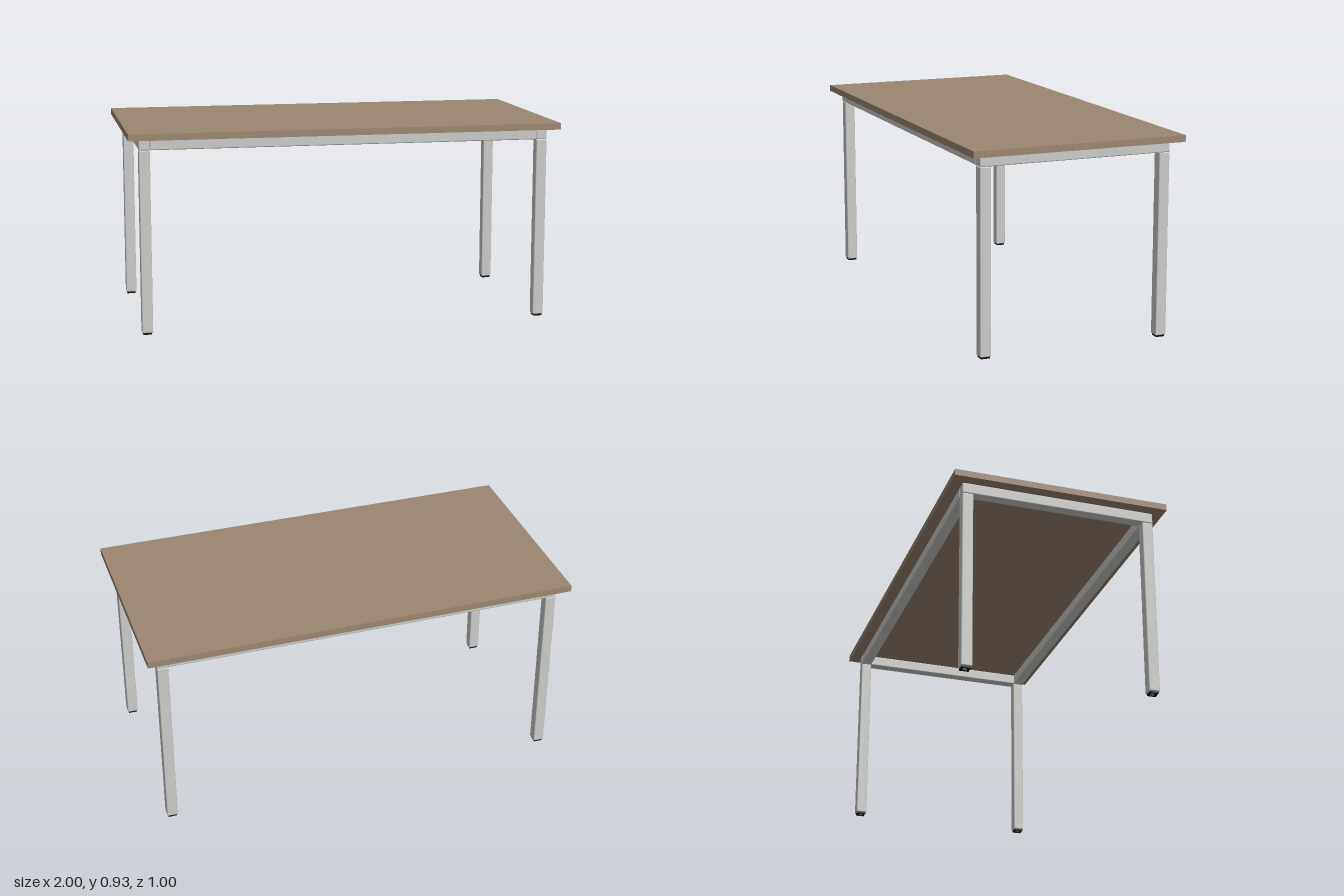
import * as THREE from 'three';
import { RoundedBoxGeometry } from 'three/addons/geometries/RoundedBoxGeometry.js';

export function createModel() {
  const table = new THREE.Group();
  table.name = 'table';

  const material = (name, color) => {
    const m = new THREE.MeshStandardMaterial({ color });
    m.name = name;
    return m;
  };
  const wood = material('wood', 0x9a8671);
  const metal = material('metal', 0xcacac8);
  const rubber = material('rubber', 0x0c0c0c);

  const add = (name, geometry, mat, x, y, z) => {
    const mesh = new THREE.Mesh(geometry, mat);
    mesh.name = name;
    mesh.position.set(x, y, z);
    table.add(mesh);
  };

  const tube = 0.05;             // width of the square tubing
  const legX = 0.925, legZ = 0.425;
  const footHeight = 0.008, legTop = 0.845, frameTop = 0.895;
  const railY = (legTop + frameTop) / 2;
  const bar = (w, h, d) => new RoundedBoxGeometry(w, h, d, 3, 0.005);

  // Flat tabletop
  add('tabletop', new THREE.BoxGeometry(2, 0.03, 1), wood, 0, frameTop + 0.015, 0);

  // Frame: side rails run the full depth, long rails fit between them
  const sideRail = bar(tube, tube, 2 * legZ + tube);
  const longRail = bar(2 * legX - tube, tube, tube);
  for (const s of [-1, 1]) {
    add('sideRail', sideRail, metal, s * legX, railY, 0);
    add('longRail', longRail, metal, 0, railY, s * legZ);
  }

  // Square ring glide, open in the middle
  const ring = new THREE.Shape();
  const o = 0.02, i = 0.011;
  ring.moveTo(-o, -o).lineTo(o, -o).lineTo(o, o).lineTo(-o, o).closePath();
  const hole = new THREE.Path();
  hole.moveTo(-i, -i).lineTo(-i, i).lineTo(i, i).lineTo(i, -i).closePath();
  ring.holes.push(hole);
  const foot = new THREE.ExtrudeGeometry(ring, { depth: footHeight + 0.001, bevelEnabled: false });
  foot.rotateX(-Math.PI / 2);

  // Legs and feet at the four corners
  const leg = bar(tube, legTop - footHeight, tube);
  for (const sx of [-1, 1]) {
    for (const sz of [-1, 1]) {
      add('leg', leg, metal, sx * legX, (legTop + footHeight) / 2, sz * legZ);
      add('foot', foot, rubber, sx * legX, 0, sz * legZ);
    }
  }
  return table;
}
